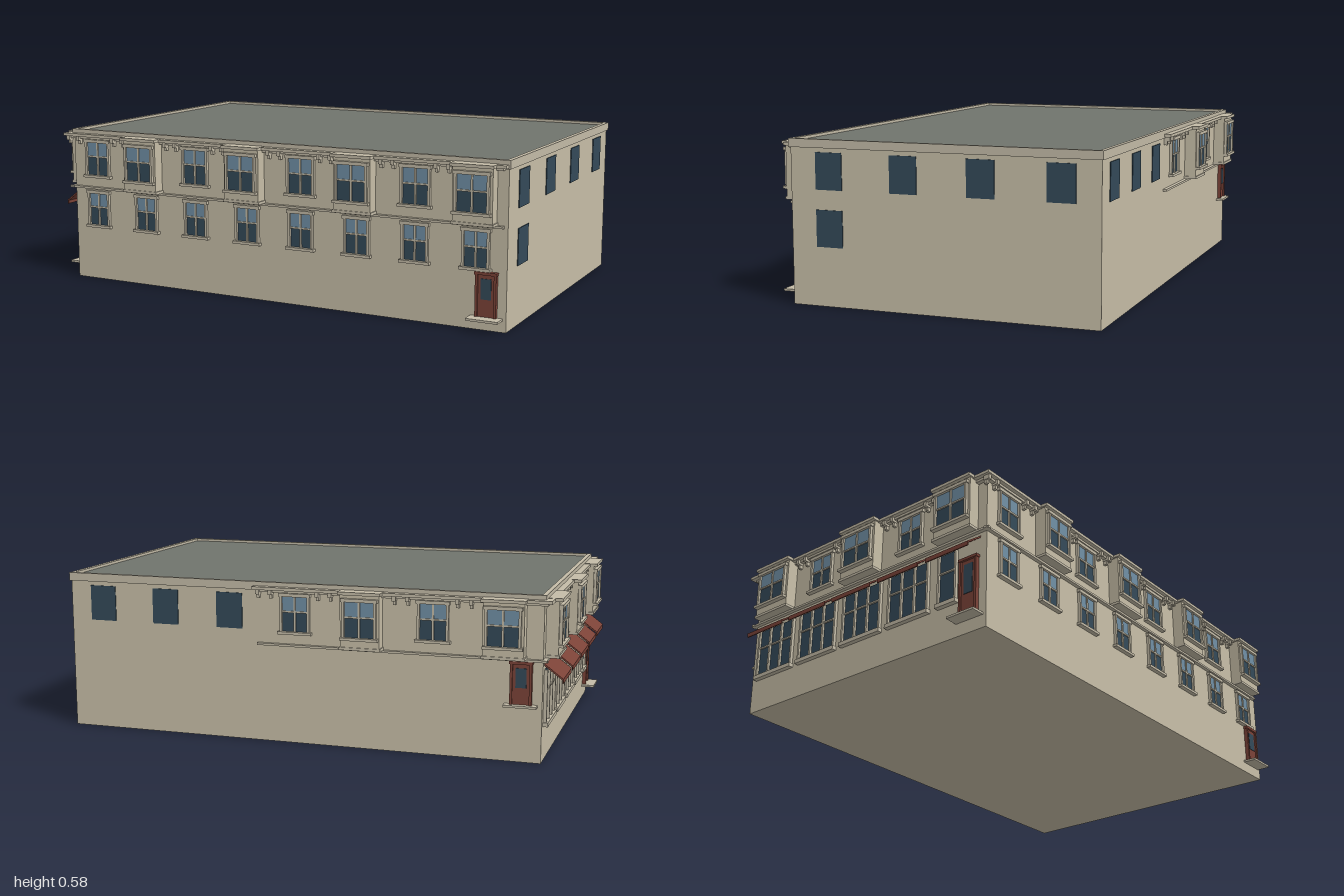
import * as THREE from 'three';

const W = 1.13, D = 1.78, H = 0.585;
const mat = (color) => new THREE.MeshStandardMaterial({ color });
const M = {
  wall: mat(0xc8bfa8), trim: mat(0xc4bca8), roof: mat(0x70746d), red: mat(0x7c4338),
  glass: mat(0x344a59), paleGlass: mat(0x7190a6),
};

// Box with its base at y0, top at y1, and z running from z0 to z1 (outward from the wall)
function block(parent, name, material, x, w, y0, y1, z0, z1) {
  const mesh = new THREE.Mesh(new THREE.BoxGeometry(w, y1 - y0, z1 - z0), material);
  mesh.position.set(x, (y0 + y1) / 2, (z0 + z1) / 2);
  mesh.name = name;
  parent.add(mesh);
  return mesh;
}

// Group on one side: x runs along the wall, z points outward
function side(parent, name, x, z, turn) {
  const g = new THREE.Group();
  g.name = name;
  g.position.set(x, 0, z);
  g.rotation.y = turn;
  parent.add(g);
  return g;
}

const plainWindow = (p, x, y0, y1) => block(p, 'plainWindow', M.glass, x, 0.101, y0, y1, -0.01, 0.003);

// Framed window with sashes, mullion and sill; z is the face it sits on
function sashWindow(p, x, w, y0, y1, z = 0) {
  const g = new THREE.Group();
  g.name = 'sashWindow';
  g.position.set(x, 0, z);
  p.add(g);
  const mid = y0 + (y1 - y0) * 0.55, f = 0.009;
  block(g, 'lowerGlass', M.glass, 0, w - f, y0, mid, -0.005, 0.003);
  block(g, 'upperGlass', M.paleGlass, 0, w - f, mid, y1, -0.005, 0.004);
  for (const s of [-1, 1]) block(g, 'jamb', M.trim, s * (w / 2 - f / 2), f, y0, y1, 0, 0.011);
  block(g, 'mullion', M.trim, 0, 0.007, y0, y1, 0, 0.008);
  block(g, 'meetingRail', M.trim, 0, w, mid - 0.003, mid + 0.003, 0, 0.008);
  block(g, 'head', M.trim, 0, w + 0.008, y1 - 0.004, y1 + 0.008, 0, 0.013);
  block(g, 'sill', M.trim, 0, w + 0.014, y0 - 0.01, y0, 0, 0.017);
}

// Projecting upper-floor bay with a capped top
function bay(p, x, w) {
  const g = new THREE.Group();
  g.name = 'bay';
  g.position.x = x;
  p.add(g);
  block(g, 'bayBody', M.wall, 0, w - 0.012, 0.368, 0.562, 0, 0.044);
  block(g, 'bayBase', M.trim, 0, w - 0.004, 0.364, 0.374, 0, 0.048);
  block(g, 'bayCap', M.trim, 0, w, 0.56, 0.571, 0, 0.057);
  sashWindow(g, 0, w - 0.03, 0.41, 0.54, 0.044);
}

// Upper window flanked by cornice brackets
function bracketWindow(p, x, near, far) {
  sashWindow(p, x, 0.112, 0.41, 0.54);
  for (const s of [-1, 1]) for (const d of [near, far]) {
    block(p, 'bracket', M.trim, x + s * d, 0.013, 0.542, 0.56, 0, 0.024);
    block(p, 'bracketFoot', M.trim, x + s * d, 0.01, 0.528, 0.542, 0, 0.013);
  }
}

// Cornice and belt course between two points of a wall
function courses(p, x0, x1) {
  const c = (x0 + x1) / 2, w = x1 - x0;
  block(p, 'cornice', M.trim, c, w, 0.559, 0.57, 0, 0.03);
  block(p, 'corniceBed', M.trim, c, w - 0.03, 0.55, 0.559, 0, 0.015);
  block(p, 'beltCourse', M.trim, c, w - 0.025, 0.356, 0.364, 0, 0.014);
}

function door(p, x, y0, y1, w, stepDepth) {
  const g = new THREE.Group();
  g.name = 'door';
  g.position.x = x;
  p.add(g);
  block(g, 'doorPanel', M.red, 0, w, y0, y1, -0.005, 0.009);
  block(g, 'doorGlass', M.glass, 0, w * 0.5, y0 + (y1 - y0) * 0.4, y1 - 0.02, 0, 0.011);
  for (const s of [-1, 1]) block(g, 'doorPost', M.red, s * (w / 2 - 0.004), 0.009, y0, y1, 0, 0.015);
  block(g, 'doorHead', M.red, 0, w + 0.006, y1 - 0.006, y1 + 0.004, 0, 0.017);
  block(g, 'doorStep', M.trim, 0, w + 0.04, y0 - 0.008, y0, 0, stepDepth);
}

// Shop window split into panes
function shopWindow(p, x, w, panes) {
  block(p, 'shopGlass', M.glass, x, w, 0.14, 0.325, -0.005, 0.004);
  for (let i = 0; i <= panes; i++)
    block(p, 'shopPost', M.trim, x - w / 2 + (w * i) / panes, 0.008, 0.135, 0.325, 0, 0.012);
  block(p, 'shopTransom', M.trim, x, w, 0.25, 0.256, 0, 0.01);
  block(p, 'shopSill', M.trim, x, w + 0.015, 0.125, 0.14, 0, 0.018);
}

// Thin sloping awning with a short valance
function awning(p, x, w) {
  const pts = [[0, 0.345], [0.066, 0.296], [0.066, 0.28], [0.062, 0.28], [0.062, 0.292], [0, 0.338]];
  const shape = new THREE.Shape(pts.map(([a, b]) => new THREE.Vector2(a, b)));
  const geo = new THREE.ExtrudeGeometry(shape, { depth: w, bevelEnabled: false });
  geo.rotateY(-Math.PI / 2);
  geo.translate(w / 2, 0, 0);
  const mesh = new THREE.Mesh(geo, M.red);
  mesh.name = 'awning';
  mesh.position.x = x;
  p.add(mesh);
}

export function createModel() {
  const model = new THREE.Group();
  model.name = 'cornerBuilding';
  const b = new THREE.Group();
  b.name = 'building';
  b.position.set(0.01, 0, 0.025);
  b.rotation.y = THREE.MathUtils.degToRad(8.9);
  model.add(b);

  // Main body, roof and parapet
  block(b, 'walls', M.wall, 0, W, 0, 0.565, -D / 2, D / 2);
  block(b, 'roof', M.roof, 0, W - 0.01, 0.56, 0.575, -D / 2 + 0.005, D / 2 - 0.005);
  for (const s of [-1, 1]) {
    const z = s * (D / 2 - 0.002), x = s * (W / 2 - 0.002);
    block(b, 'parapet', M.trim, 0, W + 0.012, 0.555, H, z - 0.008, z + 0.008);
    block(b, 'parapet', M.trim, x, 0.016, 0.555, H, -D / 2 - 0.006, D / 2 + 0.006);
  }

  // Plain front
  const front = side(b, 'frontSide', 0, D / 2, 0);
  for (let i = 0; i < 4; i++) plainWindow(front, (i - 1.5) * 0.282 + 0.005, 0.41, 0.54);
  plainWindow(front, -1.5 * 0.282 + 0.005, 0.21, 0.34);

  // Left side: plain windows toward the front, trimmed ones toward the back
  const left = side(b, 'leftSide', W / 2, 0, Math.PI / 2);
  for (let i = 0; i < 7; i++) {
    const x = (i - 3) * 0.253;
    if (i < 3) plainWindow(left, x, 0.41, 0.54);
    else if (i % 2) bracketWindow(left, x, 0.088, 0.136);
    else bay(left, x, 0.155);
  }
  courses(left, -0.155, D / 2 + 0.03);
  door(left, 0.817, 0.205, 0.352, 0.075, 0.03);

  // Right side: eight columns, every second one a bay
  const right = side(b, 'rightSide', -W / 2, 0, -Math.PI / 2);
  for (let i = 0; i < 8; i++) {
    const x = (i - 3.5) * 0.2225;
    if (i % 2) bay(right, x, 0.155);
    else bracketWindow(right, x, 0.08, 0.125);
    sashWindow(right, x, 0.1, 0.215, 0.342);
  }
  courses(right, -D / 2 - 0.03, D / 2);
  door(right, 0.82, 0.048, 0.2, 0.075, 0.05);

  // Back: shopfront with awnings below, bays above
  const back = side(b, 'backSide', 0, -D / 2, Math.PI);
  for (let i = 0; i < 5; i++) {
    const x = (i - 2) * 0.2225;
    if (i % 2) bracketWindow(back, x, 0.08, 0.118);
    else bay(back, x, 0.175);
    awning(back, x, 0.187);
    if (i < 4) shopWindow(back, x, 0.18, 3);
  }
  shopWindow(back, 0.4, 0.075, 1);
  door(back, 0.495, 0.055, 0.27, 0.075, 0.05);
  courses(back, -W / 2 - 0.03, W / 2 + 0.03);

  return model;
}
